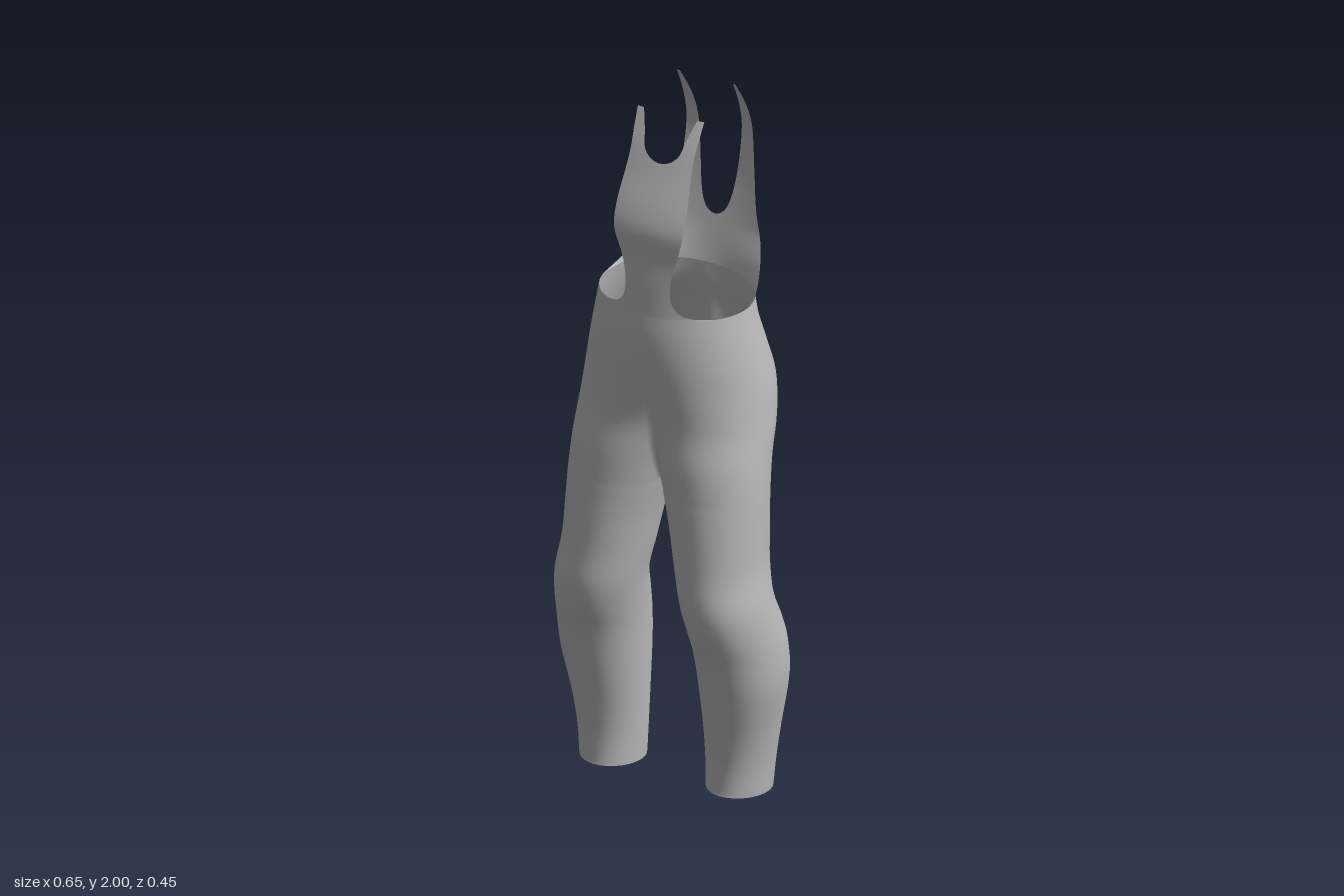
import * as THREE from 'three';
import { mergeVertices } from 'three/addons/utils/BufferGeometryUtils.js';

const cloth = new THREE.MeshStandardMaterial({ color: 0xb8b8b8, side: THREE.DoubleSide });
cloth.name = 'greyCloth';

// Smooth lookup in a table of [y, value, value, ...] rows; returns column c
function sample(table, y, c = 1) {
  const n = table.length - 1;
  if (y <= table[0][0]) return table[0][c];
  if (y >= table[n][0]) return table[n][c];
  let i = 0;
  while (y > table[i + 1][0]) i++;
  const slope = (k) => {
    const a = table[Math.max(k - 1, 0)], b = table[Math.min(k + 1, n)];
    return (b[c] - a[c]) / (b[0] - a[0]);
  };
  const p = table[i], q = table[i + 1], h = q[0] - p[0], t = (y - p[0]) / h;
  const t2 = t * t, t3 = t2 * t;
  return (2 * t3 - 3 * t2 + 1) * p[c] + (t3 - 2 * t2 + t) * h * slope(i)
    + (3 * t2 - 2 * t3) * q[c] + (t3 - t2) * h * slope(i + 1);
}

const span = (a, b, n, power = 1) =>
  Array.from({ length: n + 1 }, (_, i) => a + (b - a) * (i / n) ** power);

// Mesh from rows of points, together with its mirror image across x = 0
function mirroredSheet(name, rows, flip) {
  const pos = [], index = [], w = rows[0].length;
  for (const side of [1, -1]) {
    const base = pos.length / 3;
    rows.forEach((row) => row.forEach(([x, y, z]) => pos.push(side * x, y, z)));
    for (let r = 0; r < rows.length - 1; r++) {
      for (let k = 0; k < w - 1; k++) {
        const a = base + r * w + k, b = a + 1, c = a + w, d = c + 1;
        if ((side > 0) !== flip) index.push(a, b, c, b, d, c);
        else index.push(a, c, b, b, c, d);
      }
    }
  }
  let geo = new THREE.BufferGeometry();
  geo.setAttribute('position', new THREE.Float32BufferAttribute(pos, 3));
  geo.setIndex(index);
  geo = mergeVertices(geo, 1e-4);
  geo.computeVertexNormals();
  const mesh = new THREE.Mesh(geo, cloth);
  mesh.name = name;
  return mesh;
}

// One leg and its half of the hips: y, inner x, outer x, back z, front z
const LEG = [
  [0.00, 0.105, 0.275, -0.08, 0.125],
  [0.10, 0.10, 0.285, -0.082, 0.12],
  [0.20, 0.095, 0.30, -0.088, 0.13],
  [0.35, 0.088, 0.325, -0.103, 0.165],
  [0.45, 0.083, 0.325, -0.098, 0.19],
  [0.52, 0.077, 0.318, -0.08, 0.215],
  [0.60, 0.066, 0.308, -0.05, 0.23],
  [0.70, 0.045, 0.292, -0.058, 0.22],
  [0.80, 0.025, 0.288, -0.07, 0.212],
  [0.90, 0.00, 0.285, -0.08, 0.203],
  [1.00, -0.03, 0.28, -0.108, 0.195],
  [1.10, -0.08, 0.274, -0.158, 0.18],
  [1.20, -0.13, 0.262, -0.188, 0.185],
  [1.30, -0.18, 0.243, -0.175, 0.195],
  [1.38, -0.21, 0.226, -0.158, 0.197],
  [1.44, -0.215, 0.215, -0.155, 0.192],
];

function legsAndHips() {
  const ys = [...span(0, 0.9, 36), ...span(0.9, 1.44, 30).slice(1)];
  const rows = ys.map((y) => {
    const [inner, outer, back, front] = [1, 2, 3, 4].map((c) => sample(LEG, y, c));
    const cx = (inner + outer) / 2, rx = (outer - inner) / 2;
    const cz = (front + back) / 2, rz = (front - back) / 2;
    // above the crotch the ring opens where it meets the middle seam
    const limit = cx >= rx - 1e-6 ? Math.PI : Math.acos(-cx / rx);
    return span(-limit, limit, 44).map((a) => {
      const x = Math.max(0, cx + rx * Math.cos(a));
      let z = cz + rz * Math.sin(a);
      // crease down the middle of the seat
      if (a < 0 && y > 1.0) {
        z += 0.018 * Math.sin(Math.PI * Math.min(1, (y - 1) / 0.44)) * Math.exp(-((x / 0.03) ** 2));
      }
      return [x, y === 0 ? 0.1 * (z + 0.08) : y, z];
    });
  });
  return mirroredSheet('legsAndHips', rows, true);
}

// Upper panel with a U neckline between two straps
function panel(name, { outer, inner, depth, neck, top, dir, flatBy }) {
  const ys = [...span(1.44, neck, 26, 1.4), ...span(neck, top, 24, 2).slice(1)];
  const rows = ys.map((y) => {
    const xo = sample(outer, y);
    const xi = y <= neck ? 0 : Math.max(0, sample(inner, y));
    const t = Math.min(1, (y - 1.44) / (flatBy - 1.44));
    const wrap = 1 - 0.7 * t * t * (3 - 2 * t);
    return span(xi, xo, 14).map((x) => {
      const drop = 0.173 * (1 - Math.sqrt(Math.max(0, 1 - (x / 0.215) ** 2)));
      return [x, y, sample(depth, y) - dir * drop * wrap];
    });
  });
  return mirroredSheet(name, rows, dir < 0);
}

export function createModel() {
  const group = new THREE.Group();
  group.name = 'overalls';
  group.add(legsAndHips());
  group.add(panel('frontBib', {
    neck: 1.86, top: 1.98, dir: 1, flatBy: 1.7,
    outer: [[1.44, 0.17], [1.448, 0.115], [1.465, 0.085], [1.5, 0.068], [1.56, 0.07], [1.62, 0.086],
      [1.68, 0.102], [1.75, 0.104], [1.82, 0.098], [1.88, 0.094], [1.93, 0.097], [1.98, 0.1]],
    inner: [[1.86, 0], [1.863, 0.018], [1.872, 0.036], [1.89, 0.052], [1.93, 0.063], [1.98, 0.08]],
    depth: [[1.44, 0.192], [1.52, 0.188], [1.6, 0.183], [1.68, 0.186], [1.74, 0.168],
      [1.82, 0.132], [1.9, 0.098], [1.98, 0.058]],
  }));
  group.add(panel('backPanel', {
    neck: 1.57, top: 2.0, dir: -1, flatBy: 1.56,
    outer: [[1.44, 0.215], [1.46, 0.2], [1.48, 0.185], [1.52, 0.16], [1.6, 0.128], [1.7, 0.11],
      [1.8, 0.101], [1.9, 0.097], [2.0, 0.088]],
    inner: [[1.57, 0], [1.574, 0.014], [1.59, 0.031], [1.63, 0.045], [1.7, 0.055], [1.8, 0.063],
      [1.9, 0.07], [2.0, 0.08]],
    depth: [[1.44, -0.155], [1.5, -0.17], [1.6, -0.194], [1.7, -0.213], [1.8, -0.221],
      [1.86, -0.215], [1.93, -0.187], [2.0, -0.145]],
  }));
  return group;
}
